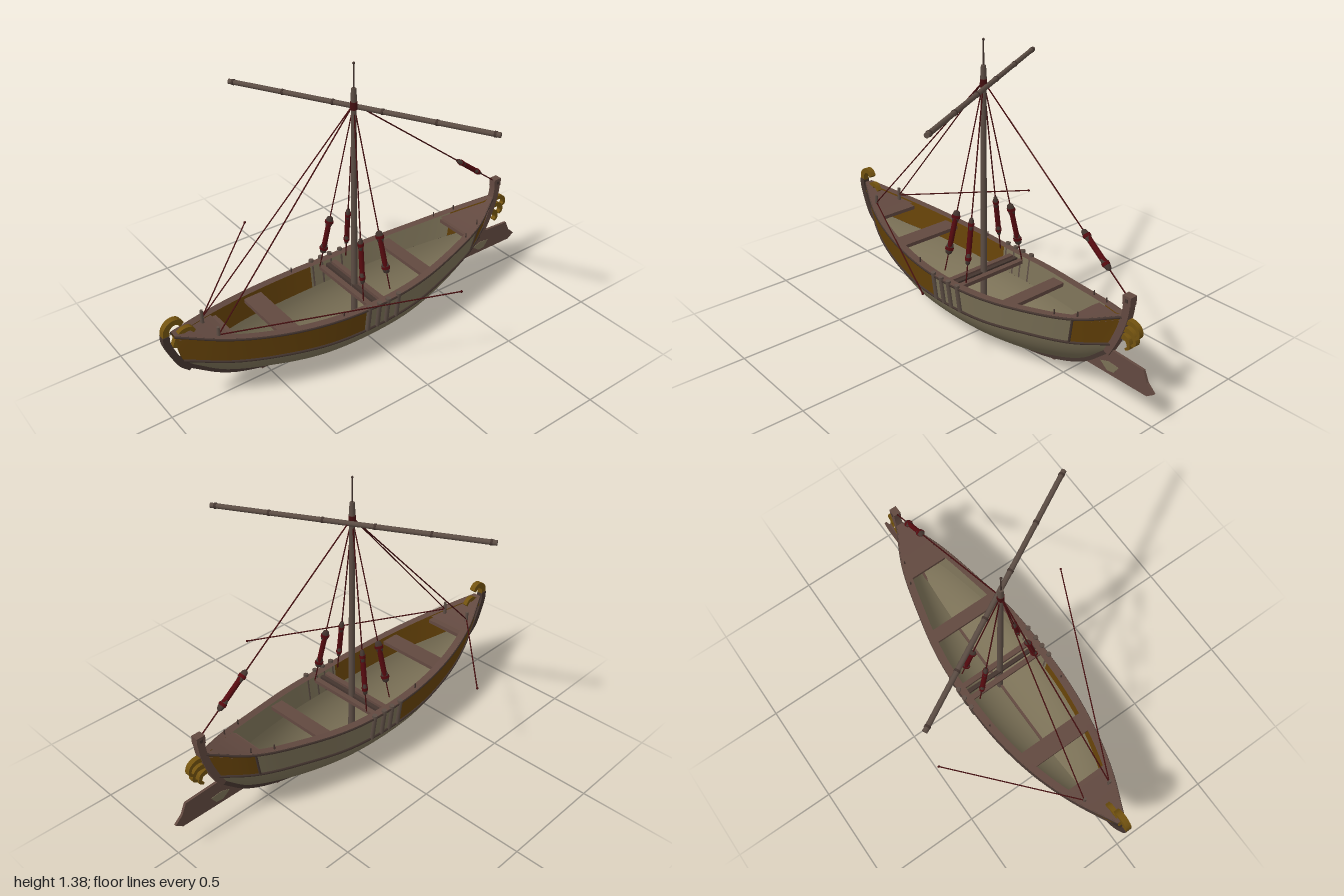
import * as THREE from 'three';
import { ParametricGeometry } from 'three/addons/geometries/ParametricGeometry.js';

const material = (name, color, side = THREE.FrontSide) => {
  const m = new THREE.MeshStandardMaterial({ color, side });
  m.name = name;
  return m;
};
const V = (x, y, z) => new THREE.Vector3(x, y, z);

export function createModel() {
  const ship = new THREE.Group();
  ship.name = 'sailingBoat';
  const D = THREE.DoubleSide;
  const brown = material('brown wood', 0x624940, D);
  const spar = material('grey wood', 0x5c4d44);
  const dark = material('dark wood', 0x44352f, D);
  const beige = material('pale planking', 0x7a7056, D);
  const ochre = material('ochre paint', 0x654208, D);
  const gold = material('gilding', 0x72520f);
  const red = material('red rope', 0x560a0f);
  const ropeDark = material('dark rope', 0x450f10);

  const add = (name, geo, mat, parent = ship) => {
    const m = new THREE.Mesh(geo, mat);
    m.name = name;
    parent.add(m);
    return m;
  };
  const box = (name, w, h, d, p, mat) => {
    const m = add(name, new THREE.BoxGeometry(w, h, d), mat);
    m.position.copy(p);
    return m;
  };
  // Tapered round bar from a to b
  const rod = (name, a, b, ra, rb, mat, sides = 10) => {
    const m = add(name, new THREE.CylinderGeometry(rb, ra, a.distanceTo(b), sides), mat);
    m.position.copy(a).lerp(b, 0.5);
    m.quaternion.setFromUnitVectors(V(0, 1, 0), b.clone().sub(a).normalize());
    return m;
  };
  const loft = (name, f, nu, nv, mat) => {
    const g = new ParametricGeometry((u, v, t) => t.copy(f(u, v)), nu, nv);
    g.computeVertexNormals();
    return add(name, g, mat);
  };
  // Flat plate in the centre plane from a (z, y) outline
  const plate = (name, shape, thick, mat) => {
    const g = new THREE.ExtrudeGeometry(shape, { depth: thick, bevelEnabled: false });
    g.translate(0, 0, -thick / 2).rotateY(-Math.PI / 2);
    return add(name, g, mat);
  };
  // Curved band in the centre plane, tapering from w0 to w1
  const band = (name, pts, w0, w1, thick, mat) => {
    const c = new THREE.CatmullRomCurve3(pts.map(([z, y]) => V(z, y, 0)));
    const a = [], b = [], n = 32;
    for (let i = 0; i <= n; i++) {
      const t = i / n, p = c.getPointAt(t), d = c.getTangentAt(t);
      const w = (w0 + (w1 - w0) * t) / 2;
      a.push(new THREE.Vector2(p.x - d.y * w, p.y + d.x * w));
      b.unshift(new THREE.Vector2(p.x + d.y * w, p.y - d.x * w));
    }
    return plate(name, new THREE.Shape([...a, ...b]), thick, mat);
  };

  // Hull guide lines, stern to bow
  const guide = (pts) => new THREE.CatmullRomCurve3(pts.map((p) => V(...p)));
  const sheer = guide([[.012, .43, -.82], [.10, .375, -.65], [.165, .335, -.42], [.212, .31, -.18],
    [.225, .30, .06], [.215, .31, .3], [.175, .335, .54], [.11, .37, .75], [.015, .42, .95]]);
  const wale = guide([[.01, .28, -.77], [.085, .245, -.62], [.15, .215, -.4], [.195, .19, -.18],
    [.21, .18, .06], [.2, .185, .3], [.16, .21, .53], [.095, .235, .73], [.012, .28, .92]]);
  const keelPts = [[-.755, .24], [-.62, .13], [-.4, .045], [-.18, .014], [.06, .008],
    [.3, .016], [.5, .05], [.72, .12], [.91, .25]];
  const keel = guide(keelPts.map(([z, y]) => [0, y, z]));
  const uAt = (z) => {
    let lo = 0, hi = 1;
    for (let i = 0; i < 30; i++) {
      const m = (lo + hi) / 2;
      if (sheer.getPoint(m).z < z) lo = m; else hi = m;
    }
    return lo;
  };
  // Rounded bilge amidships, sharper towards the ends
  const bottom = (u, v, s, inset) => {
    const k = keel.getPoint(u), w = wale.getPoint(u), full = Math.sin(Math.PI * u) * 0.5 + 0.2;
    const a = v * Math.PI / 2;
    const x = THREE.MathUtils.lerp(v, Math.sin(a), full);
    const y = THREE.MathUtils.lerp(v, 1 - Math.cos(a), full);
    return V(s * Math.max(0, w.x - inset) * x, k.y + (w.y - k.y) * y + inset * (1 - v),
      THREE.MathUtils.lerp(k.z, w.z, y));
  };
  const strake = (u, v, s, inset) => {
    const p = wale.getPoint(u).lerp(sheer.getPoint(u), v);
    return V(s * Math.max(0, p.x - inset), p.y, p.z);
  };

  const uBow = uAt(.13), uStern = uAt(-.64);
  for (const s of [-1, 1]) {
    const side = s > 0 ? 'left' : 'right';
    loft(side + 'HullBottom', (u, v) => bottom(u, v, s, 0), 56, 14, beige);
    loft(side + 'InnerHull', (u, v) => bottom(u, v, s, .012), 56, 10, beige);
    // Upper strake in painted sections, outside and inside
    for (const [name, a, b, mat] of [['SternPanel', 0, uStern, ochre],
      ['MiddlePlanking', uStern, uBow, beige], ['BowPanel', uBow, 1, ochre]]) {
      for (const [layer, inset] of [['Outer', 0], ['Inner', .01]]) {
        loft(side + layer + name, (u, v) => strake(a + (b - a) * u, v, s, inset), 24, 3, mat);
      }
    }
    // Rub rails and cap rail
    for (const [name, c] of [['Wale', wale], ['SheerRail', sheer]]) {
      const pts = c.getPoints(24).map((p) => V(s * p.x, p.y, p.z));
      add(side + name, new THREE.TubeGeometry(new THREE.CatmullRomCurve3(pts), 64, .007, 6), dark);
    }
    loft(side + 'CapRail', (u, v) => {
      const p = sheer.getPoint(u);
      return V(s * Math.max(0, p.x + .004 - .036 * v), p.y + .007, p.z);
    }, 56, 1, brown);
    // Divider at the stern panel
    rod(side + 'PanelDivider', strake(uStern, 0, s, 0), strake(uStern, 1, s, 0), .006, .006, dark, 6);
    // Vertical fenders amidships
    for (const z of [.115, .06, .01, -.05]) {
      const u = uAt(z);
      rod(side + 'Fender', strake(u, 0, s, 0), strake(u, 1.15, s, 0), .012, .012, spar, 8);
    }
    // Rail pins
    for (const z of [-.65, -.55, .24]) {
      const p = sheer.getPoint(uAt(z));
      rod(side + 'RailPin', V(s * (p.x - .014), p.y, z), V(s * (p.x - .014), p.y + .03, z), .004, .003, dark, 6);
    }
    // Bow bitts
    rod(side + 'BowBitt', V(s * .07, .33, .78), V(s * .07, .425, .78), .01, .007, spar, 8);
  }

  // Keel, stem and stern post
  band('keel', keelPts, .018, .018, .026, dark);
  band('stem', [[.89, .23], [.93, .27], [.965, .34], [.985, .40], [.986, .435]], .03, .03, .032, dark);
  band('bowCurl', [[.986, .43], [.98, .465], [.955, .487], [.928, .486], [.91, .466]], .03, .022, .028, gold);
  band('innerBowCurl', [[.945, .36], [.93, .40], [.905, .425], [.875, .425], [.855, .405]], .035, .014, .022, gold);
  band('sternPost', [[-.75, .23], [-.79, .31], [-.825, .40], [-.84, .47], [-.842, .53]], .03, .036, .034, brown);
  box('sternPostHead', .036, .04, .042, V(0, .514, -.842), brown);
  box('sternPostSlot', .04, .016, .014, V(0, .514, -.842), dark);
  for (const [i, [z, y]] of [[-.91, .375], [-.895, .335], [-.865, .305]].entries()) {
    band('sternHorn', [[-.825, .415 - i * .035], [(z - .835) / 2, .418 - i * .04],
      [z + .012, y + .03], [z + .004, y], [z + .02, y - .014]], .026, .01, .024, gold);
  }

  // Rudder blade
  const outline = (pts) => new THREE.Shape(pts.map((p) => new THREE.Vector2(...p)));
  plate('rudder', outline([[-.6, .13], [-.965, .13], [-1, .155], [-.962, .19], [-.94, .24], [-.75, .25]]), .012, brown);
  plate('rudderPatch', outline([[-.715, .175], [-.76, .19], [-.815, .185], [-.79, .15], [-.755, .145]]), .016, beige);

  // End decks and thwarts
  for (const [name, z0, z1] of [['bowDeck', .72, .945], ['sternDeck', -.815, -.59]]) {
    const a = uAt(z0), b = uAt(z1);
    loft(name, (u, v) => {
      const p = sheer.getPoint(a + (b - a) * u);
      return V(p.x * (v * 2 - 1) * .95, p.y - .015, p.z);
    }, 12, 2, brown);
  }
  for (const [name, z, depth, mat] of [['aftThwart', -.28, .065, brown], ['foreThwart', .475, .09, brown],
    ['bowBeam', .715, .035, brown], ['sternBeam', -.59, .02, brown], ['mastBeam', 0, .025, brown],
    ['mastBeam', .035, .02, dark], ['mastBeam', .07, .025, brown]]) {
    const p = sheer.getPoint(uAt(z));
    box(name, (p.x - .02) * 2, .018, depth, V(0, p.y - .03, z), mat);
  }
  box('floorKeelson', .012, .012, 1.0, V(0, .045, .05), brown);

  // Mast
  const top = V(0, 1.19, .03);
  rod('mast', V(0, .02, .03), V(0, 1.2, .03), .016, .012, spar, 14);
  rod('mastHead', V(0, 1.19, .03), V(0, 1.26, .03), .015, .011, spar, 8);
  rod('mastLashing', V(0, 1.165, .03), V(0, 1.2, .03), .0165, .016, ropeDark, 10);
  rod('mastPole', V(0, 1.25, .03), V(0, 1.37, .03), .004, .003, dark, 6);
  add('mastKnob', new THREE.SphereGeometry(.006, 8, 6), dark).position.set(0, 1.371, .03);

  // Yard with bands
  const y0 = V(-.545, 1.17, .305), y1 = V(.545, 1.17, -.285);
  rod('yard', y0, y1, .0115, .0115, spar, 12);
  for (const x of [-.525, -.31, -.1, .1, .31, .525]) {
    const t = (x + .545) / 1.09;
    rod('yardBand', y0.clone().lerp(y1, t - .004), y0.clone().lerp(y1, t + .004), .0135, .0135, dark, 12);
  }

  // Rope tackle: red falls between two pointed blocks
  const tackle = (a, b, t0, t1) => {
    const p = a.clone().lerp(b, t0), q = a.clone().lerp(b, t1);
    rod('tackleFalls', p, q, .012, .012, red, 8);
    const along = b.clone().sub(a).normalize();
    for (const e of [p, q]) {
      const m = add('tackleBlock', new THREE.SphereGeometry(1, 8, 4), dark);
      m.scale.set(.019, .034, .013);
      m.position.copy(e);
      m.quaternion.setFromUnitVectors(V(0, 1, 0), along);
      rod('blockStrop', e.clone().addScaledVector(along, -.007), e.clone().addScaledVector(along, .007),
        .0195, .0195, red, 8).scale.z = .72;
    }
  };
  const rope = (name, a, b) => rod(name, a, b, .003, .003, ropeDark, 6);
  for (const s of [-1, 1]) {
    for (const z of [.105, -.045]) {
      const foot = V(s * .168, .31, z);
      rope('shroud', top, foot);
      tackle(top, foot, .70, .875);
    }
    rope('forestay', top, V(s * .07, .385, .78));
  }
  const sternFoot = V(0, .52, -.835);
  rope('backstay', top, sternFoot);
  tackle(top, sternFoot, .73, .855);

  // Loose braces led to the bow bitts
  for (const [end, s] of [[V(-.52, .445, .29), -1], [V(.5, .435, -.17), 1]]) {
    rope('brace', end, V(s * .07, .385, .78));
    add('braceKnot', new THREE.SphereGeometry(.006, 8, 6), ropeDark).position.copy(end);
  }
  return ship;
}
